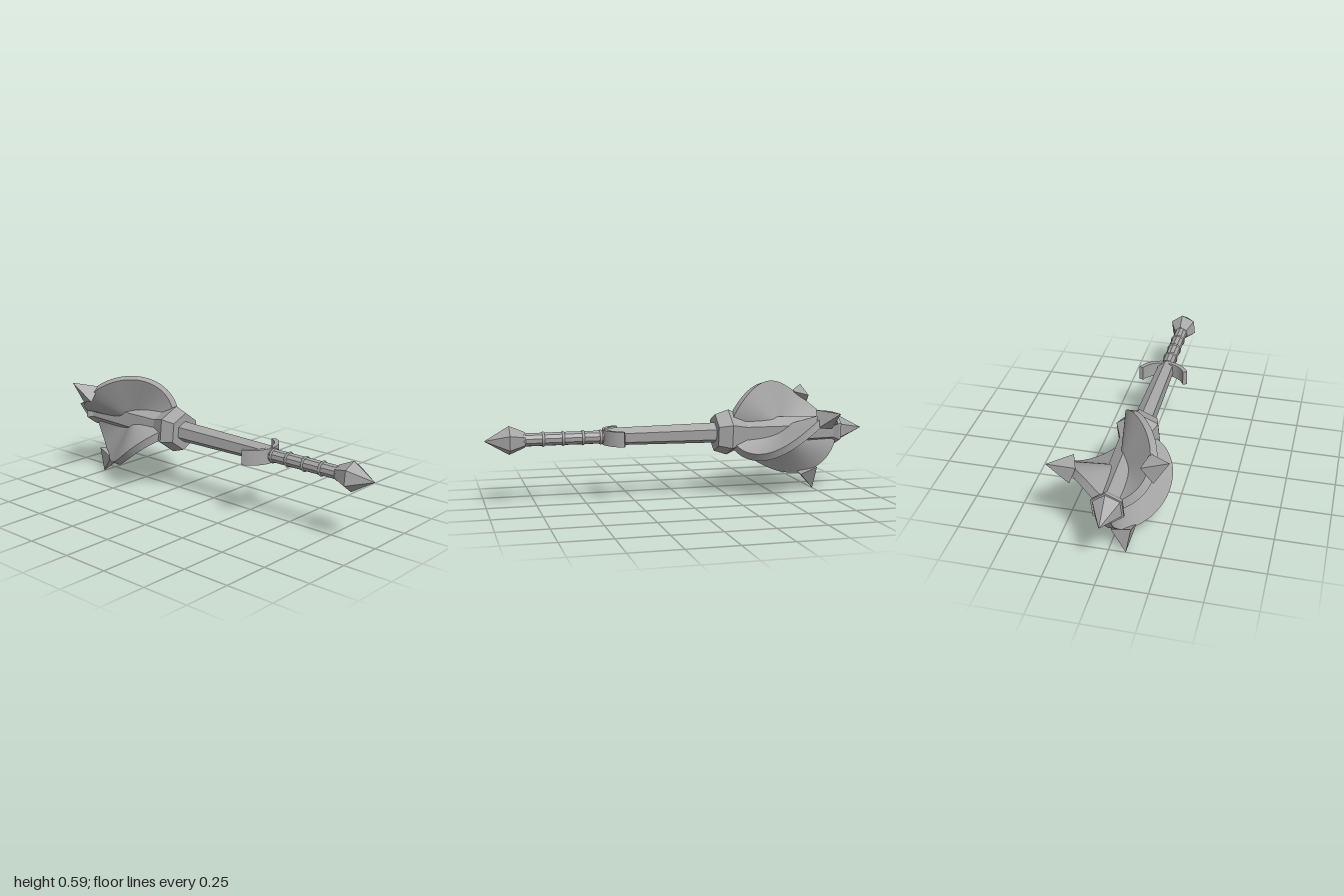
import * as THREE from 'three';

const rad = THREE.MathUtils.degToRad;

// Faceted shading: every face gets its own normal
function flat(geo) {
  const g = geo.index ? geo.toNonIndexed() : geo;
  g.computeVertexNormals();
  return g;
}

// Solid of revolution along z; points are [radius, z] with rising z
function turned(points, sides = 6) {
  const geo = new THREE.LatheGeometry(points.map(([r, z]) => new THREE.Vector2(r, z)), sides);
  geo.rotateX(Math.PI / 2);
  geo.rotateZ(rad(-6.5));
  return flat(geo);
}

// Half-disc flange wound a quarter turn around the z axis
function twistedBlade() {
  const midZ = -0.55, halfLength = 0.3, reach = 0.267;
  const geo = new THREE.CylinderGeometry(1, 1, 0.045, 56, 1, false, 0, Math.PI);
  geo.scale(reach, 1, halfLength);
  geo.translate(0, 0, midZ);
  const pos = geo.attributes.position;
  const axis = new THREE.Vector3(0, 0, 1);
  const p = new THREE.Vector3();
  for (let i = 0; i < pos.count; i++) {
    p.fromBufferAttribute(pos, i);
    p.applyAxisAngle(axis, rad(-4 - 150 * (p.z - midZ)));
    pos.setXYZ(i, p.x, p.y, p.z);
  }
  return flat(geo);
}

// Square pyramid pointing outward and slightly toward the head's tip
function bladeSpikeGeometry() {
  const geo = new THREE.ConeGeometry(0.068, 0.125, 4);
  geo.rotateY(Math.PI / 4);
  geo.rotateZ(-Math.PI / 2);
  geo.rotateY(rad(21.5));
  geo.translate(0.278, 0, -0.7275);
  return flat(geo);
}

// Curved band opening toward the head
function guardGeometry() {
  const shape = new THREE.Shape();
  const a = rad(22), b = rad(158);
  shape.absarc(0, 0.27, 0.14, a, b, false);
  shape.absarc(0, 0.27, 0.117, b, a, true);
  const geo = new THREE.ExtrudeGeometry(shape, { depth: 0.076, bevelEnabled: false, curveSegments: 14 });
  geo.rotateX(Math.PI / 2);
  geo.translate(0, 0.038, 0);
  return flat(geo);
}

export function createModel() {
  const steel = new THREE.MeshStandardMaterial({ color: 0xa6a6a6 });
  steel.name = 'steel grey';
  const group = new THREE.Group();
  group.name = 'mace';
  const body = new THREE.Group();
  body.name = 'maceBody';
  body.position.set(-0.028, 0.335, 0);
  group.add(body);

  const add = (name, geo, angle = 0) => {
    const mesh = new THREE.Mesh(geo, steel);
    mesh.name = name;
    mesh.rotation.z = angle;
    body.add(mesh);
    return mesh;
  };

  // Handle
  add('pommel', turned([[0, 0.8], [0.04, 0.8], [0.074, 0.878], [0, 1]]));
  add('grip', turned([[0.034, 0.4], [0.034, 0.82]], 10));
  for (const z of [0.805, 0.71, 0.61, 0.51, 0.42]) {
    add('gripRing', new THREE.TorusGeometry(0.032, 0.007, 6, 16)).position.z = z;
  }
  add('guard', guardGeometry());
  add('shaft', turned([[0.054, -0.2], [0.045, 0.4], [0, 0.4]]));

  // Head
  add('collar', turned([[0.079, -0.34], [0.121, -0.25], [0.098, -0.18], [0, -0.18]]));
  add('headCore', turned([[0.068, -0.83], [0.08, -0.3]]));
  add('tipFlange', turned([[0, -0.857], [0.084, -0.857], [0.084, -0.845], [0.068, -0.82]]));
  add('tipSpike', turned([[0, -1], [0.075, -0.855]]));

  // Three twisted blades, each with a spike on its rim
  const blade = twistedBlade();
  const spike = bladeSpikeGeometry();
  for (let i = 0; i < 3; i++) {
    add('blade', blade, rad(120 * i));
    add('bladeSpike', spike, rad(20.5 + 120 * i));
  }
  return group;
}
